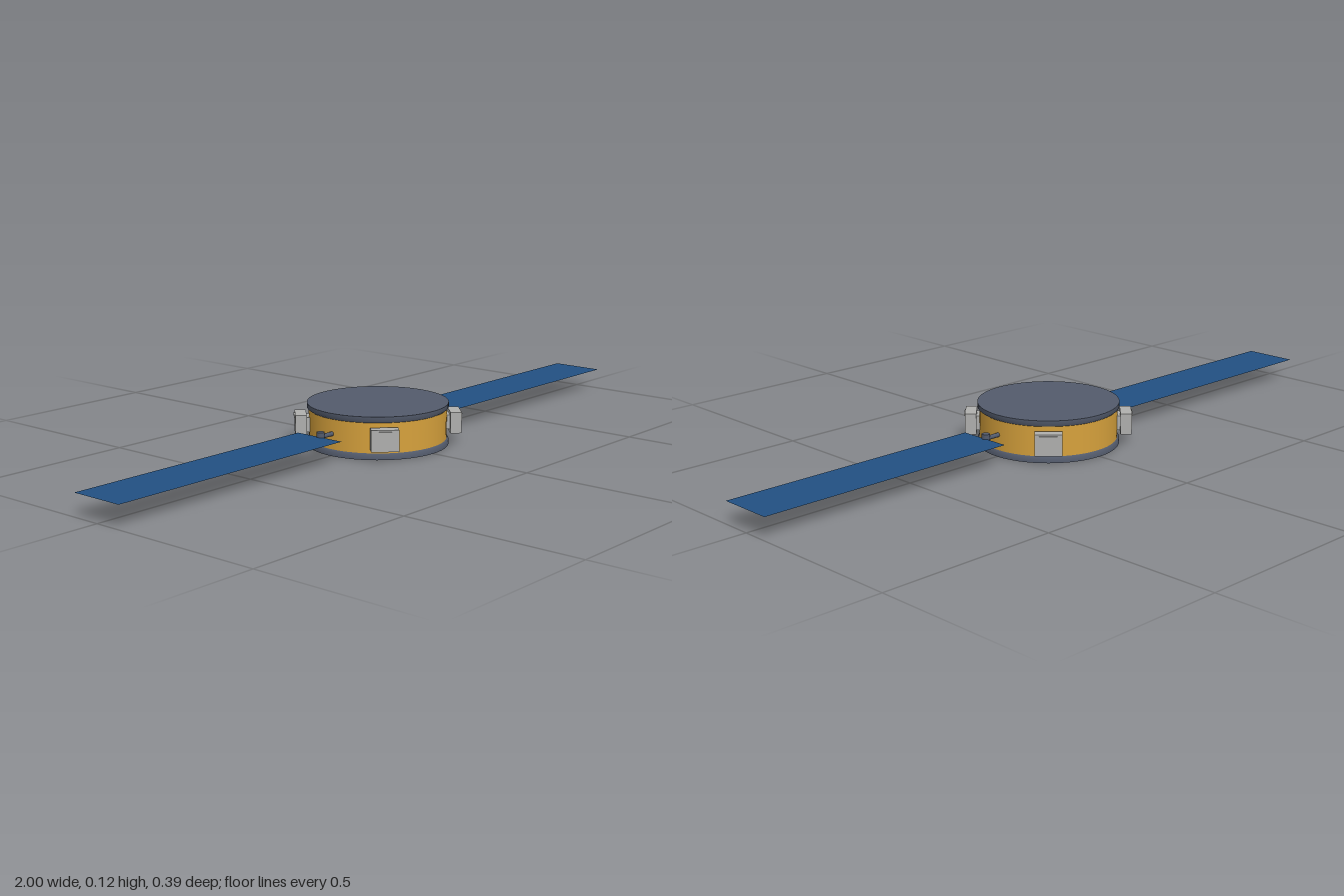
import * as THREE from 'three';

const mat = (name, color, side = THREE.FrontSide) => {
  const m = new THREE.MeshStandardMaterial({ color, side });
  m.name = name;
  return m;
};

export function createModel() {
  const slate = mat('slate', 0x535b6c);
  const gold = mat('gold foil', 0xd6a13c);
  const grey = mat('light grey', 0xb0b0ae);
  const blue = mat('solar blue', 0x225082, THREE.DoubleSide);

  const model = new THREE.Group();
  model.name = 'satellite';
  const add = (name, geometry, material, x = 0, y = 0, z = 0, parent = model) => {
    const mesh = new THREE.Mesh(geometry, material);
    mesh.name = name;
    mesh.position.set(x, y, z);
    parent.add(mesh);
    return mesh;
  };
  const lathe = (points) =>
    new THREE.LatheGeometry(points.map(([r, y]) => new THREE.Vector2(r, y)), 64);

  const H = 0.117, MID = H / 2, R = 0.195;

  // Gold drum between the two end plates
  add('body', new THREE.CylinderGeometry(0.19, 0.19, 0.09, 64, 1, true), gold, 0, MID, 0);

  // End plates: softly shaded rim tapering into the drum, closed by a flat disc
  add('bottomRim', lathe([[R, 0], [R, 0.013], [0.189, 0.018]]), slate);
  add('topRim', lathe([[0.189, H - 0.018], [R, H - 0.013], [R, H]]), slate);
  add('topPlate', new THREE.CircleGeometry(R, 64), slate, 0, H, 0).rotation.x = -Math.PI / 2;
  add('bottomPlate', new THREE.CircleGeometry(R, 64), slate).rotation.x = Math.PI / 2;

  // Four equipment boxes on the diagonals
  for (let i = 0; i < 4; i++) {
    const unit = new THREE.Group();
    unit.name = 'equipmentBox' + (i + 1);
    unit.rotation.y = Math.PI / 4 + i * Math.PI / 2;
    add('housing', new THREE.BoxGeometry(0.074, 0.059, 0.031), grey, 0, 0.0595, 0.2125, unit);
    add('mount', new THREE.BoxGeometry(0.05, 0.04, 0.02), grey, 0, 0.0595, 0.192, unit);
    add('ridge', new THREE.BoxGeometry(0.048, 0.005, 0.004), grey, 0, 0.082, 0.229, unit);
    model.add(unit);
  }

  // Solar wings with their arms and hinges, mirrored left and right
  for (const s of [1, -1]) {
    const side = s > 0 ? 'left' : 'right';
    const arm = new THREE.CylinderGeometry(0.006, 0.006, 0.055, 16);
    add(side + 'Arm', arm, slate, s * 0.209, 0.06, 0).rotation.z = Math.PI / 2;
    add(side + 'Hinge', new THREE.CylinderGeometry(0.011, 0.011, 0.026, 24), slate, s * 0.235, 0.06, 0);
    const panel = new THREE.PlaneGeometry(0.761, 0.155);
    add(side + 'SolarPanel', panel, blue, s * 0.6195, 0.06, 0).rotation.x = -Math.PI / 2;
  }

  return model;
}
